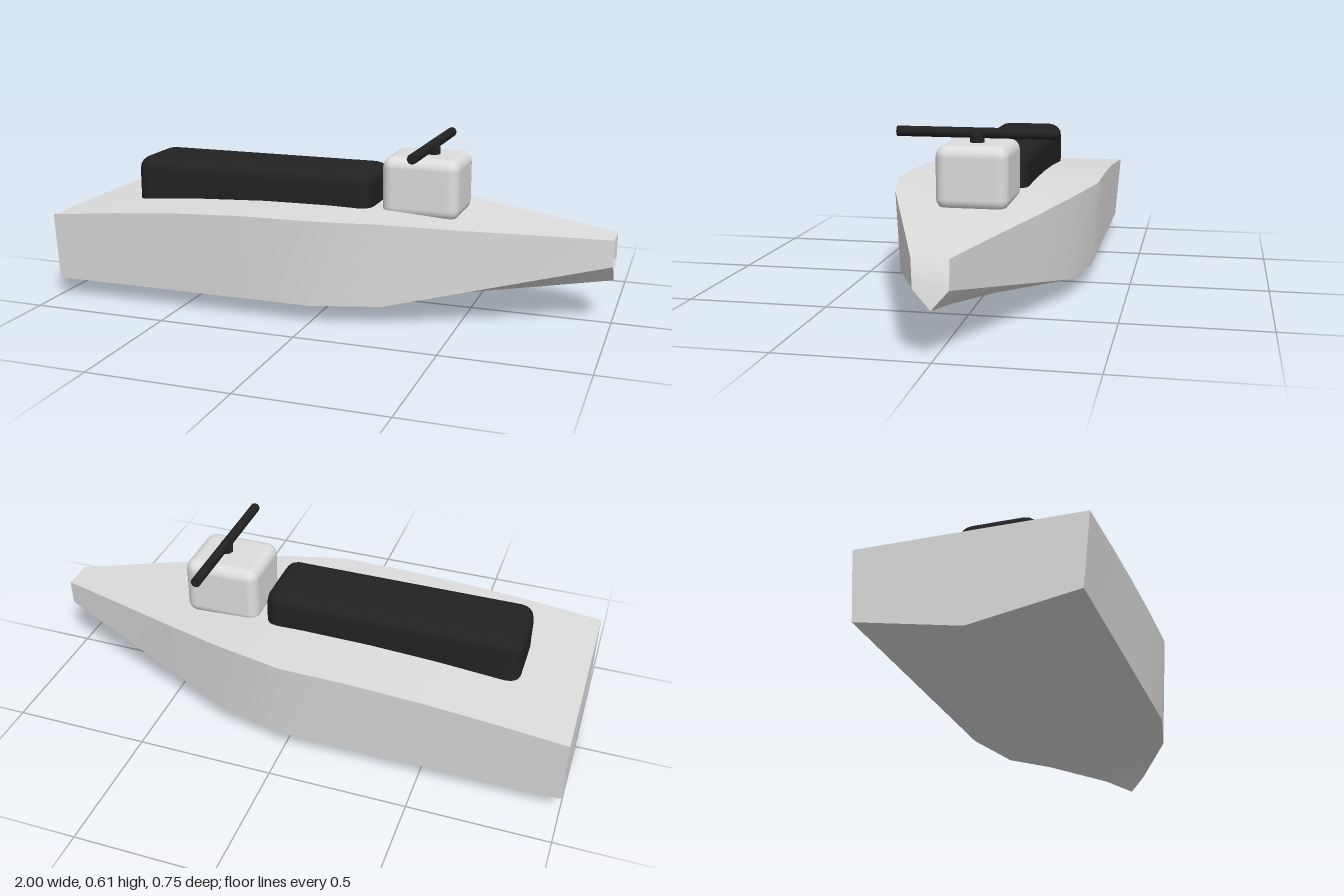
import * as THREE from 'three';
import { toCreasedNormals } from 'three/addons/utils/BufferGeometryUtils.js';
import { RoundedBoxGeometry } from 'three/addons/geometries/RoundedBoxGeometry.js';

// Hull stations: x, deck half width, deck y, chine half width, chine y, keel y
const STATIONS = [
  [-1, 0.375, 0.315, 0.355, 0.065, 0],
  [-0.75, 0.375, 0.34, 0.355, 0.065, 0],
  [-0.5, 0.375, 0.36, 0.355, 0.065, 0],
  [-0.25, 0.375, 0.372, 0.355, 0.065, 0],
  [0, 0.375, 0.375, 0.355, 0.065, 0],
  [0.25, 0.32, 0.37, 0.305, 0.073, 0.012],
  [0.5, 0.233, 0.35, 0.222, 0.122, 0.06],
  [0.75, 0.145, 0.333, 0.138, 0.171, 0.108],
  [1, 0.058, 0.315, 0.055, 0.22, 0.157],
];

// Lofts the five-sided section, closed at the stern and open at the bow tip
function hullGeometry() {
  const positions = [];
  const index = [];
  for (const [x, dw, dy, cw, cy, ky] of STATIONS) {
    positions.push(x, dy, dw, x, cy, cw, x, ky, 0, x, cy, -cw, x, dy, -dw);
  }
  for (let i = 0; i < STATIONS.length - 1; i++) {
    for (let j = 0; j < 5; j++) {
      const a = i * 5 + j;
      const c = i * 5 + ((j + 1) % 5);
      index.push(a, c, a + 5, a + 5, c, c + 5);
    }
  }
  for (let k = 1; k < 4; k++) index.push(0, k + 1, k); // transom
  const geometry = new THREE.BufferGeometry();
  geometry.setAttribute('position', new THREE.Float32BufferAttribute(positions, 3));
  geometry.setIndex(index);
  return toCreasedNormals(geometry, 0.6);
}

export function createModel() {
  const model = new THREE.Group();
  model.name = 'patrolBoat';

  const hullGrey = new THREE.MeshStandardMaterial({ color: 0xdddddd, side: THREE.DoubleSide });
  hullGrey.name = 'light grey';
  const black = new THREE.MeshStandardMaterial({ color: 0x222222 });
  black.name = 'black';

  function add(name, geometry, material, x, y, z) {
    const mesh = new THREE.Mesh(geometry, material);
    mesh.name = name;
    mesh.position.set(x, y, z);
    model.add(mesh);
    return mesh;
  }

  add('hull', hullGeometry(), hullGrey, 0, 0, 0);

  // Deck housings
  add('cargoCover', new RoundedBoxGeometry(0.935, 0.22, 0.275, 2, 0.05), black, -0.315, 0.392, 0);
  add('cabin', new RoundedBoxGeometry(0.28, 0.22, 0.25, 3, 0.04), hullGrey, 0.327, 0.452, 0);

  // Rotating antenna on the cabin roof
  add('antennaBase', new THREE.CylinderGeometry(0.025, 0.025, 0.03, 8), black, 0.347, 0.572, 0);
  add('antennaNeck', new THREE.CylinderGeometry(0.014, 0.025, 0.018, 8), black, 0.347, 0.595, 0);
  const bar = add('antennaBar', new THREE.CylinderGeometry(0.018, 0.018, 0.56, 8), black, 0.345, 0.594, 0);
  bar.rotation.x = Math.PI / 2;

  return model;
}
